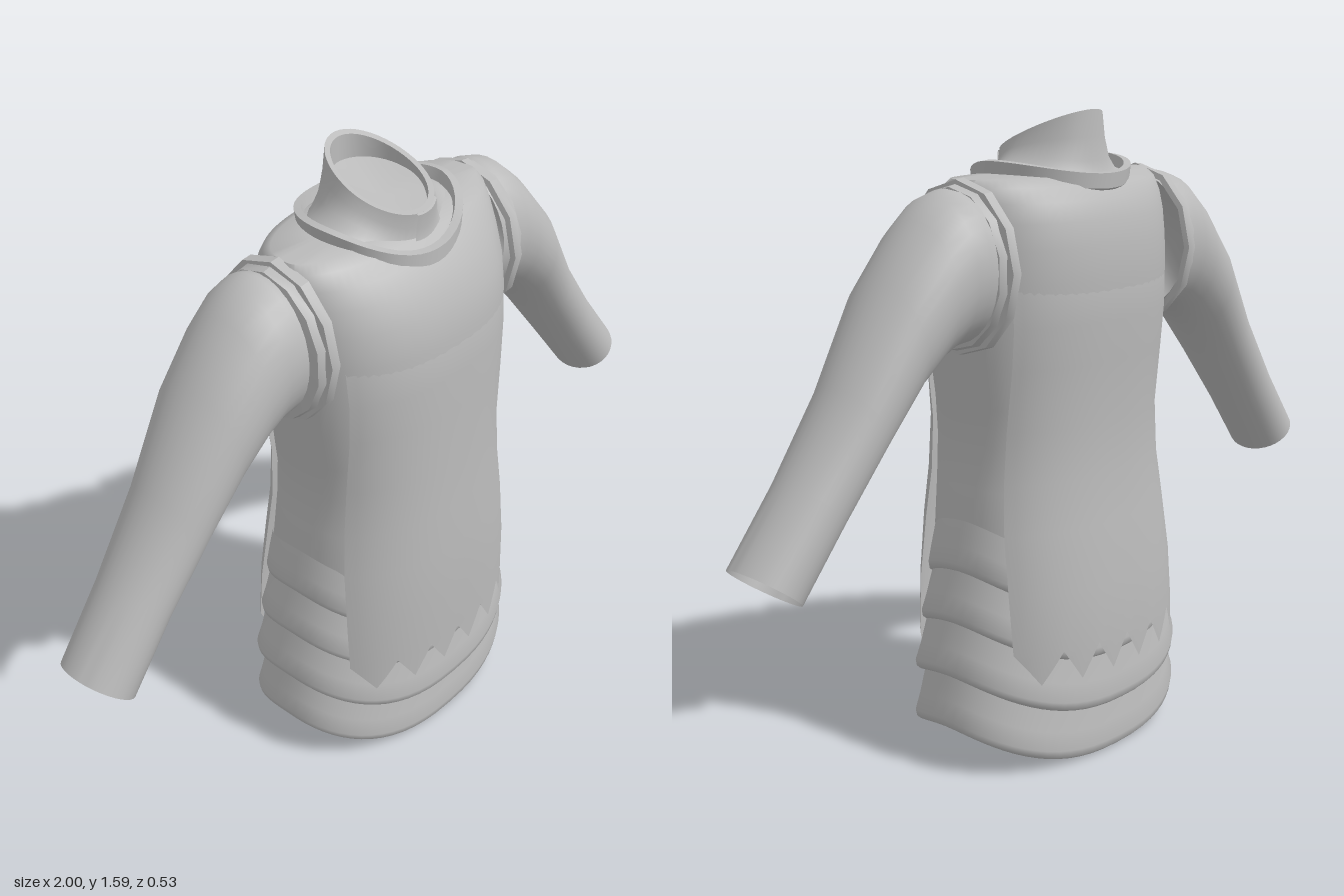
import * as THREE from 'three';
import { toCreasedNormals } from 'three/addons/utils/BufferGeometryUtils.js';

const cloth = new THREE.MeshStandardMaterial({ color: 0xbababa, side: THREE.DoubleSide });
cloth.name = 'grey cloth';

// Skin a grid of points: rows x (cols + 1), point(row, t) with t from 0 to 1
function loft(name, rows, cols, point, crease = 0.7) {
  const pos = [], index = [];
  rows.forEach((row) => {
    for (let j = 0; j <= cols; j++) pos.push(...point(row, j / cols));
  });
  for (let i = 0; i < rows.length - 1; i++) {
    for (let j = 0; j < cols; j++) {
      const a = i * (cols + 1) + j, b = a + cols + 1;
      index.push(a, b, a + 1, a + 1, b, b + 1);
    }
  }
  const geo = new THREE.BufferGeometry();
  geo.setAttribute('position', new THREE.Float32BufferAttribute(pos, 3));
  geo.setIndex(index);
  const mesh = new THREE.Mesh(toCreasedNormals(geo, crease), cloth);
  mesh.name = name;
  return mesh;
}

const TAU = Math.PI * 2;
const POWER = 2.4; // squareness of the body sections
const bend = (v) => Math.sign(v) * Math.abs(v) ** (2 / POWER);

// Body section: [y at the side, half width, front depth, back depth, drop at front and back]
function bodyPoint([y, w, front, back, drop = 0], t) {
  const s = bend(Math.sin(t * TAU));
  return [w * bend(Math.cos(t * TAU)), y - drop * s * s, s * (s > 0 ? front : back)];
}

// Plated skirt: each tier flares down to a rounded, arched lip
function makeTier(name, y, w, depth, topY, topW, topDepth) {
  const rows = [
    [y + 0.015, w - 0.025, depth - 0.02], [y, w - 0.012, depth - 0.01],
    [y + 0.008, w - 0.003, depth - 0.002], [y + 0.025, w, depth],
    [y + 0.07, w - 0.4 * (w - topW), depth - 0.4 * (depth - topDepth)], [topY, topW, topDepth],
  ].map(([h, x, z]) => [h, x, z, z, 0.105]);
  return loft(name, rows, 64, bodyPoint, 0.9);
}

// Front or back tabard panel with a toothed hem: [y, edge x, section half width, depth]
function makePanel(name, rows, dir) {
  const teeth = 6, cols = teeth * 6;
  const point = ([y, edge, w, depth, hem], t) => {
    const x = dir * edge * (1 - 2 * t);
    const z = depth * (1 - Math.abs(x / w) ** POWER) ** (1 / POWER);
    const f = (t * teeth) % 1;
    return [x, hem ? y - 0.08 * (1 - Math.abs(2 * f - 1)) : y, dir * z];
  };
  return loft(name, [[...rows[0], true], ...rows], cols, point);
}

// Neckline height dips at the front and slightly at the back
const neckline = (s) => 1.458 - (s > 0 ? 0.072 : 0.03) * s * s;

// Neck section: [half width, front z, back z, share of the slanted rim height, lift]
function neckPoint([w, front, back, k, lift = 0], a) {
  const s = Math.sin(a), z = s > 0 ? s * front : -s * back;
  const rim = 1.535 - 0.41 * (z + 0.01);
  return [w * Math.cos(a), neckline(s) * (1 - k) + rim * k + lift, z];
}

function makeArm(s) {
  const arm = new THREE.Group();
  arm.name = s > 0 ? 'leftArm' : 'rightArm';
  // Sleeve sections: [upper x, upper y, lower x, lower y, front z, back z]
  const sleeve = [
    [0.33, 1.41, 0.33, 1.07, 0.11, -0.175], [0.385, 1.423, 0.39, 1.065, 0.115, -0.178],
    [0.43, 1.41, 0.42, 1.06, 0.115, -0.176], [0.49, 1.36, 0.47, 1.035, 0.112, -0.172],
    [0.60, 1.235, 0.54, 0.98, 0.105, -0.163], [0.73, 1.02, 0.63, 0.875, 0.085, -0.145],
    [0.87, 0.835, 0.75, 0.725, 0.07, -0.13], [1.0, 0.674, 0.872, 0.572, 0.07, -0.125],
  ];
  const sleevePoint = ([ux, uy, lx, ly, front, back], t) => {
    const c = Math.cos(t * TAU), q = -s * Math.sin(t * TAU);
    return [s * ((ux + lx) / 2 + c * (ux - lx) / 2), (uy + ly) / 2 + c * (uy - ly) / 2,
      (front + back) / 2 + q * (front - back) / 2];
  };
  arm.add(loft('sleeve', sleeve, 32, sleevePoint, 0.9));
  // Faceted armhole bands: [x, half height, half depth]
  const bandPoint = ([x, ry, rz], t) => [s * x, 1.238 + ry * Math.cos(t * TAU),
    -0.022 - s * rz * Math.sin(t * TAU)];
  arm.add(loft('armholeBand', [
    [0.312, 0.19, 0.165], [0.316, 0.205, 0.178], [0.342, 0.202, 0.178], [0.346, 0.18, 0.155],
  ], 12, bandPoint, 0.5));
  arm.add(loft('innerArmholeBand', [
    [0.34, 0.193, 0.165], [0.365, 0.187, 0.16], [0.37, 0.165, 0.135],
  ], 14, bandPoint, 0.5));
  return arm;
}

export function createModel() {
  const model = new THREE.Group();
  model.name = 'tunic';

  // Torso with a lining down inside the skirt, closed over the shoulders
  model.add(loft('torso', [
    [0.12, 0.37, 0.228, 0.228, 0.105], [0.3, 0.34, 0.216, 0.216, 0.105],
    [0.49, 0.312, 0.216, 0.216, 0.1], [0.6, 0.314, 0.228, 0.218, 0.06],
    [0.7, 0.3, 0.23, 0.208, 0.02], [0.8, 0.293, 0.23, 0.204], [0.9, 0.302, 0.228, 0.208],
    [1.0, 0.318, 0.23, 0.216], [1.1, 0.326, 0.234, 0.228], [1.2, 0.33, 0.235, 0.236],
    [1.28, 0.33, 0.219, 0.231], [1.34, 0.33, 0.19, 0.221], [1.385, 0.33, 0.158, 0.204],
    [1.42, 0.328, 0.122, 0.178], [1.438, 0.318, 0.085, 0.145], [1.444, 0.2, 0.05, 0.1],
    [1.444, 0, 0, 0],
  ], 64, bodyPoint, 0.9));

  // Skirt tiers, lowest first
  model.add(makeTier('skirtTier1', 0.105, 0.395, 0.248, 0.26, 0.36, 0.225));
  model.add(makeTier('skirtTier2', 0.235, 0.383, 0.26, 0.39, 0.342, 0.235));
  model.add(makeTier('skirtTier3', 0.365, 0.36, 0.251, 0.515, 0.322, 0.226));
  model.add(makeTier('skirtTier4', 0.49, 0.336, 0.24, 0.62, 0.314, 0.224));

  // Tabard panels
  model.add(makePanel('frontPanel', [
    [0.31, 0.308, 0.358, 0.265], [0.45, 0.308, 0.35, 0.267], [0.6, 0.3, 0.333, 0.262],
    [0.72, 0.287, 0.315, 0.254], [0.85, 0.278, 0.308, 0.247], [1.0, 0.28, 0.324, 0.242],
    [1.1, 0.282, 0.331, 0.239], [1.2, 0.285, 0.33, 0.233], [1.25, 0.285, 0.326, 0.215],
  ], 1));
  model.add(makePanel('backPanel', [
    [0.31, 0.308, 0.358, 0.265], [0.45, 0.308, 0.35, 0.256], [0.6, 0.3, 0.333, 0.236],
    [0.72, 0.287, 0.315, 0.222], [0.85, 0.278, 0.308, 0.218], [1.0, 0.28, 0.324, 0.226],
    [1.1, 0.282, 0.331, 0.233], [1.2, 0.285, 0.33, 0.234], [1.25, 0.285, 0.326, 0.222],
  ], -1));

  // Collar ring around the neckline
  model.add(loft('collarRing', [
    [0.19, 0.155, -0.18, 0, -0.035], [0.203, 0.17, -0.195, 0, -0.02],
    [0.21, 0.168, -0.197, 0, 0.016], [0.192, 0.148, -0.18, 0, 0.018],
    [0.182, 0.135, -0.17, 0, -0.015],
  ], 48, (row, t) => neckPoint(row, t * TAU), 0.5));

  // Standing collar with a slanted rim, inner wall and closed floor
  const neckOuter = [
    [0.2, 0.15, -0.185, 0, -0.02], [0.165, 0.132, -0.165, 0.02],
    [0.138, 0.124, -0.155, 0.25], [0.12, 0.122, -0.149, 0.6], [0.11, 0.125, -0.145, 1],
  ];
  model.add(loft('standingCollar', [
    ...neckOuter, [0.097, 0.11, -0.132, 1, -0.002], [0.1, 0.105, -0.13, 0.6],
    [0, 0, 0, 1, -0.06],
  ], 48, (row, t) => neckPoint(row, t * TAU), 0.7));

  // Overlapping closure on the front of the standing collar
  model.add(loft('collarFlap', [
    ...neckOuter.slice(1).map(([w, f, b, k]) => [w + 0.004, f + 0.005, b, k]), neckOuter[4],
  ], 8, (row, t) => neckPoint(row, 1.0 + t * 0.78)));

  model.add(makeArm(1), makeArm(-1));
  return model;
}
